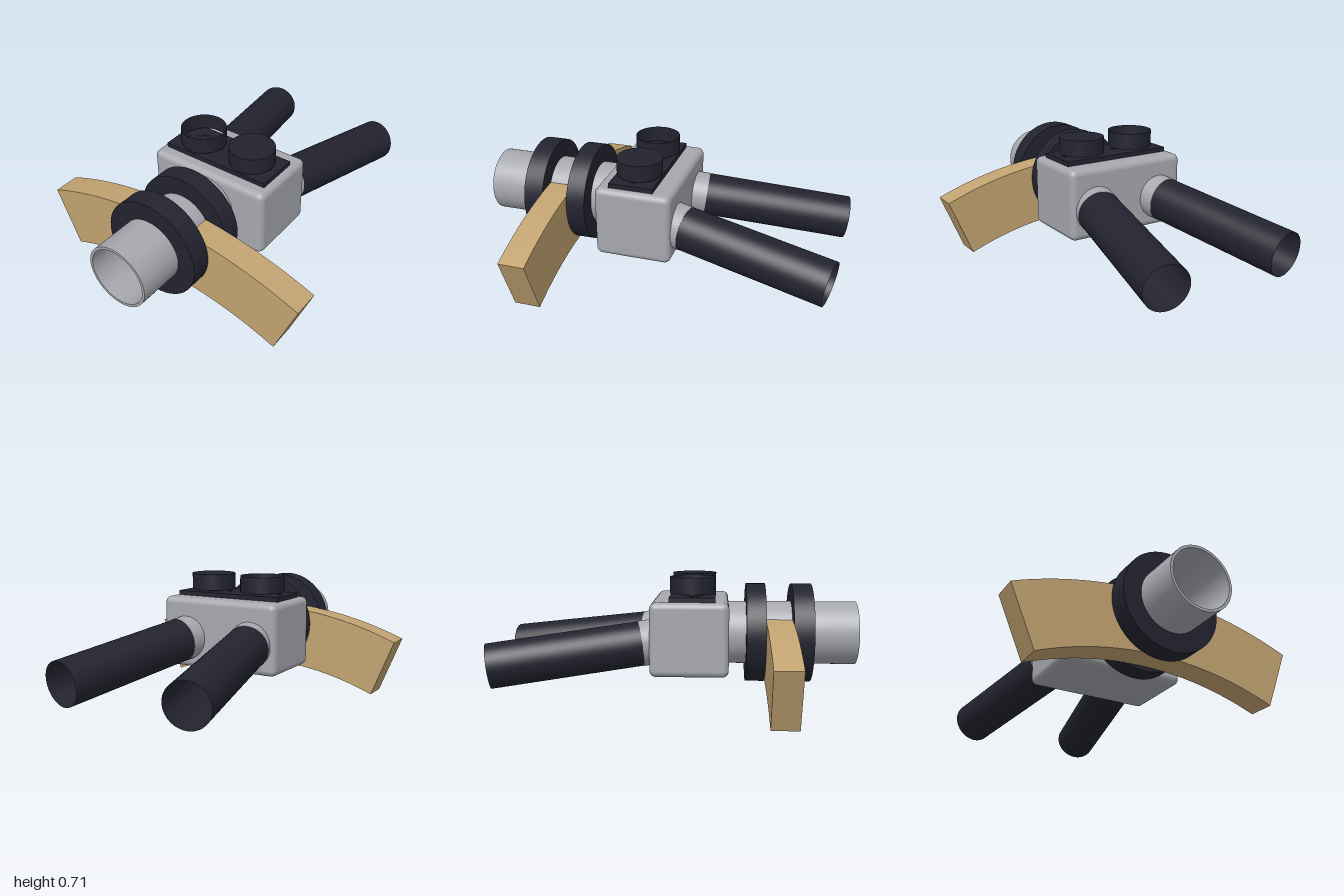
import * as THREE from 'three';
import { toCreasedNormals } from 'three/addons/utils/BufferGeometryUtils.js';
import { RoundedBoxGeometry } from 'three/addons/geometries/RoundedBoxGeometry.js';

const AXIS_Y = 0.385; // height of the pipe axis

export function createModel() {
  const model = new THREE.Group();
  const metal = new THREE.MeshStandardMaterial({ color: 0xa6a8ae });
  metal.name = 'lightMetal';
  const rubber = new THREE.MeshStandardMaterial({ color: 0x232330, side: THREE.DoubleSide });
  rubber.name = 'darkRubber';
  const tan = new THREE.MeshStandardMaterial({ color: 0xc2a371 });
  tan.name = 'tanWall';

  function add(name, geometry, material, x = 0, y = 0, z = 0) {
    const mesh = new THREE.Mesh(geometry, material);
    mesh.name = name;
    mesh.position.set(x, y, z);
    model.add(mesh);
    return mesh;
  }
  function extrude(shape, depth) {
    const g = new THREE.ExtrudeGeometry(shape, { depth, bevelEnabled: false, curveSegments: 48 });
    return toCreasedNormals(g, 0.5);
  }
  // Hollow ring along z
  function ring(name, outer, inner, z0, z1, material) {
    const s = new THREE.Shape().absarc(0, 0, outer, 0, Math.PI * 2);
    s.holes.push(new THREE.Path().absarc(0, 0, inner, 0, Math.PI * 2, true));
    add(name, extrude(s, z1 - z0), material, 0, AXIS_Y, z0);
  }
  // Cylinder between two points
  function rod(name, a, b, r, material, open) {
    const dir = b.clone().sub(a);
    const g = new THREE.CylinderGeometry(r, r, dir.length(), 48, 1, open);
    const mesh = add(name, g, material);
    mesh.position.copy(a).lerp(b, 0.5);
    mesh.quaternion.setFromUnitVectors(new THREE.Vector3(0, 1, 0), dir.normalize());
  }

  // Body and front pipe with two clamping flanges
  add('body', new RoundedBoxGeometry(0.716, 0.396, 0.42, 4, 0.035), metal, 0, 0.387, 0.085);
  ring('pipe', 0.175, 0.16, 0.27, 1, metal);
  ring('frontFlange', 0.275, 0.174, 0.64, 0.75, rubber);
  ring('rearFlange', 0.275, 0.174, 0.39, 0.495, rubber);
  const core = add('pipeCore', new THREE.CylinderGeometry(0.04, 0.04, 0.008, 32), tan, 0, AXIS_Y, 0.297);
  core.rotation.x = Math.PI / 2;

  // Curved wall segment, cut away where the pipe passes
  const up = Math.PI / 2, half = 0.384, cy = -1.666;
  const gap = Math.asin(0.15 / 2.147), cut = 0.54;
  const wall = new THREE.Shape();
  wall.absarc(0, cy, 1.8, up + half, up - half, true);
  wall.absarc(0, cy, 2.147, up - half, up - gap, false);
  wall.absarc(0, AXIS_Y, 0.174, cut, Math.PI - cut, true);
  wall.absarc(0, cy, 2.147, up + gap, up + half, false);
  wall.closePath();
  add('curvedWall', extrude(wall, 0.145), tan, 0, 0, 0.495);

  // Control plate
  add('controlPlate', new THREE.BoxGeometry(0.64, 0.028, 0.245), rubber, 0, 0.596, 0.1);

  for (const side of [-1, 1]) {
    // Knobs: the right one is an open cup, the left one is capped
    const x = side * 0.16, z = 0.1;
    const cyl = (name, r, y0, y1, px = x, open = false) =>
      add(name, new THREE.CylinderGeometry(r, r, y1 - y0, 48, 1, open), rubber, px, (y0 + y1) / 2, z);
    cyl('knob', 0.124, 0.62, 0.71, x, side < 0);
    cyl('knobWasher', 0.06, 0.609, 0.618);
    cyl('knobStem', 0.026, 0.61, 0.635);
    for (const d of [-0.11, 0.11]) cyl('screw', 0.012, 0.609, 0.614, x + d);

    // Slanted handles: metal collar and open grip
    const start = new THREE.Vector3(side * 0.218, 0.35, -0.18);
    const end = new THREE.Vector3(side * 0.37, 0.246, -0.975);
    rod('handleCollar', start.clone().lerp(end, -0.14), start, 0.123, metal, false);
    rod('handleGrip', start.clone().lerp(end, -0.01), end, 0.121, rubber, true);
  }
  add('knobMark', new THREE.BoxGeometry(0.025, 0.006, 0.015), tan, -0.115, 0.619, 0.085);

  return model;
}
